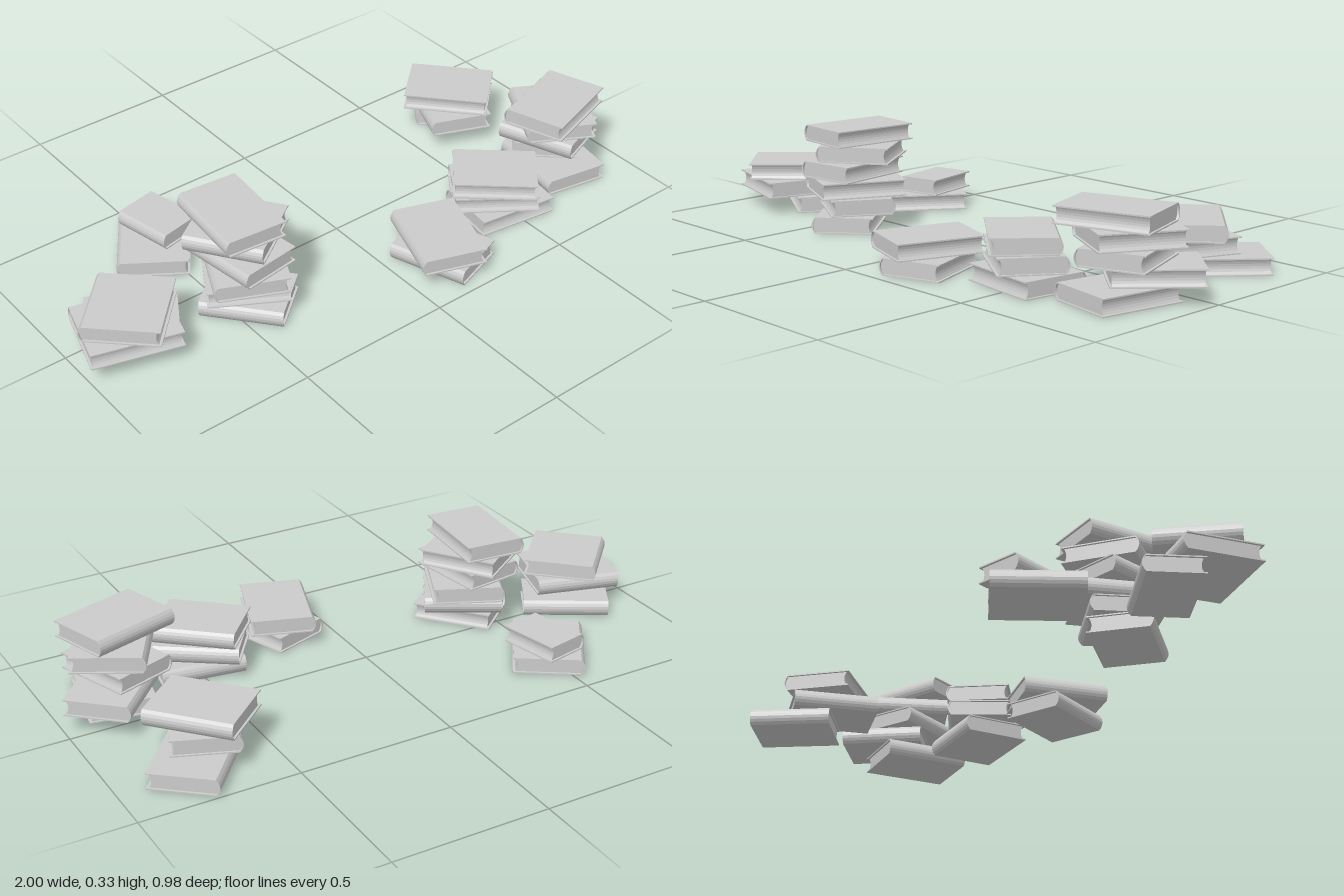
import * as THREE from 'three';

const PITCH = 0.0553;   // height of one layer in a stack
const THICK = 0.053;    // thickness of a book
const COVER = 0.004;    // thickness of the cover boards

// Each book, bottom to top: [x, z, width, length, turn in degrees]
const STACKS = {
  leftmostStack: [
    [-0.765, -0.01, 0.18, 0.28, 239], [-0.83, 0.07, 0.245, 0.28, 254], [-0.82, 0.07, 0.24, 0.25, -44],
  ],
  smallBackStack: [
    [-0.515, -0.27, 0.225, 0.27, -34], [-0.48, -0.295, 0.15, 0.2, 12],
  ],
  tallStack: [
    [-0.435, 0.125, 0.2, 0.26, 40], [-0.425, 0.1, 0.21, 0.25, 240], [-0.43, 0.1, 0.23, 0.28, -25],
    [-0.445, 0.1, 0.2, 0.27, 8], [-0.435, 0.07, 0.24, 0.25, 35], [-0.45, 0.07, 0.2, 0.29, -5],
  ],
  frontStack: [
    [0.17, 0.315, 0.2, 0.26, 19], [0.155, 0.31, 0.21, 0.28, -19],
  ],
  middleStack: [
    [0.49, 0.23, 0.22, 0.27, 262], [0.47, 0.22, 0.21, 0.27, 235], [0.465, 0.225, 0.21, 0.265, 229],
  ],
  rightStack: [
    [0.785, 0.17, 0.22, 0.28, -10], [0.83, 0.075, 0.21, 0.27, -42], [0.785, 0.14, 0.21, 0.26, 20],
    [0.795, 0.14, 0.23, 0.26, -29], [0.77, 0.17, 0.21, 0.29, -72],
  ],
  rightBackStack: [
    [0.75, -0.33, 0.215, 0.26, -40], [0.675, -0.235, 0.21, 0.275, -22], [0.685, -0.245, 0.22, 0.28, 222],
  ],
};

const material = new THREE.MeshStandardMaterial({ color: 0xcccccc });

function extrude(shape, length) {
  const geometry = new THREE.ExtrudeGeometry(shape, { depth: length, bevelEnabled: false, curveSegments: 6 });
  return geometry.translate(0, 0, -length / 2);
}

// Covers joined by a bulging spine on the -x side
function coverGeometry(w, l) {
  const x0 = -w / 2 + 0.012, x1 = w / 2, t = COVER;
  const shape = new THREE.Shape();
  shape.moveTo(x1, 0);
  shape.lineTo(x1, t);
  shape.lineTo(x0, t);
  shape.quadraticCurveTo(x0 - 0.016, THICK / 2, x0, THICK - t);
  shape.lineTo(x1, THICK - t);
  shape.lineTo(x1, THICK);
  shape.lineTo(x0, THICK);
  shape.quadraticCurveTo(x0 - 0.024, THICK / 2, x0, 0);
  shape.closePath();
  return extrude(shape, l);
}

// Page block with a hollow fore edge
function pagesGeometry(w, l) {
  const x0 = -w / 2 + 0.012, x1 = w / 2 - 0.008, t = COVER;
  const shape = new THREE.Shape();
  shape.moveTo(x0, t);
  shape.lineTo(x1, t);
  shape.quadraticCurveTo(x1 - 0.014, THICK / 2, x1, THICK - t);
  shape.lineTo(x0, THICK - t);
  shape.quadraticCurveTo(x0 - 0.016, THICK / 2, x0, t);
  return extrude(shape, l - 0.014);
}

function makeBook(w, l) {
  const book = new THREE.Group();
  book.name = 'book';
  const cover = new THREE.Mesh(coverGeometry(w, l), material);
  cover.name = 'bookCover';
  const pages = new THREE.Mesh(pagesGeometry(w, l), material);
  pages.name = 'bookPages';
  book.add(cover, pages);
  return book;
}

export function createModel() {
  const model = new THREE.Group();
  model.name = 'bookStacks';
  for (const [name, books] of Object.entries(STACKS)) {
    const stack = new THREE.Group();
    stack.name = name;
    books.forEach(([x, z, w, l, turn], level) => {
      const book = makeBook(w, l);
      book.position.set(x, level * PITCH, z);
      book.rotation.y = THREE.MathUtils.degToRad(turn);
      stack.add(book);
    });
    model.add(stack);
  }
  return model;
}
